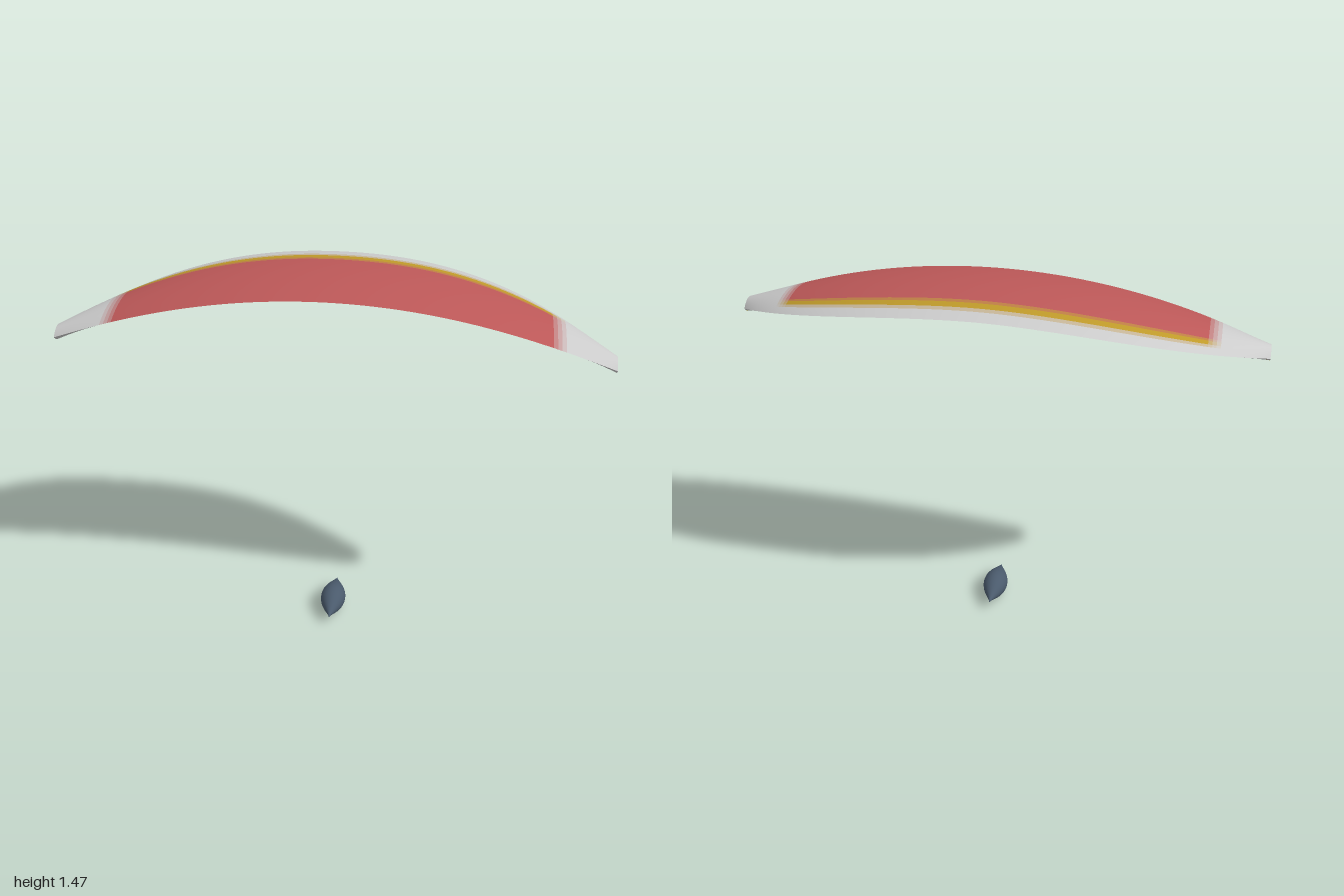
import * as THREE from 'three';
import { ParametricGeometry } from 'three/addons/geometries/ParametricGeometry.js';

const GREY = 0xcccccc, RED = 0xbc5858, YELLOW = 0xbf9a2a, SLATE = 0x4a5a6c;
const THICKNESS = 0.026;

// Planform: x = span position, f = chord fraction from leading (0) to trailing (1) edge.
const leadingZ = (x) => 0.226 - 0.021 * Math.abs(x) ** 6;
const trailingZ = (x) => -0.235 + 0.337 * Math.abs(x) ** 2.8;
const arcY = (x) => 1.441 - 0.206 * x * x;

// Point on the canopy; side is +1 for the upper skin, -1 for the lower, 0 for the chord.
function skinPoint(x, f, side, target) {
  const camber = side * THICKNESS * 4 * f * (1 - f);
  return target.set(x, arcY(x) + camber, THREE.MathUtils.lerp(leadingZ(x), trailingZ(x), f));
}

const mix = (a, b, t = 0.5) => new THREE.Color(a).lerp(new THREE.Color(b), t);

function makeMesh(name, geometry, color) {
  const mesh = new THREE.Mesh(geometry, new THREE.MeshStandardMaterial({ color }));
  mesh.name = name;
  return mesh;
}

// Patch of one skin between two span positions and two chord fractions.
function skinPatch(name, side, [x0, x1], [f0, f1], color) {
  const slices = Math.max(2, Math.ceil((x1 - x0) * 40));
  const stacks = Math.max(2, Math.ceil((f1 - f0) * 20));
  const geometry = new ParametricGeometry((u, v, target) => {
    const t = side > 0 ? v : 1 - v;
    skinPoint(THREE.MathUtils.lerp(x0, x1, u), THREE.MathUtils.lerp(f0, f1, t), side, target);
  }, slices, stacks);
  return makeMesh(name, geometry, color);
}

// Flat lens that closes one wing tip.
function tipCap(sign) {
  const geometry = new ParametricGeometry((u, v, target) => {
    skinPoint(sign, sign > 0 ? u : 1 - u, 2 * v - 1, target);
  }, 20, 2);
  geometry.computeVertexNormals();
  return makeMesh(sign > 0 ? 'leftTipCap' : 'rightTipCap', geometry, GREY);
}

export function createModel() {
  const model = new THREE.Group();
  model.name = 'glider';
  const canopy = new THREE.Group();
  canopy.name = 'canopy';
  model.add(canopy);

  // Upper skin: colour bands along the chord, fading to grey towards the tips
  const upperBands = [
    ['upperPanel', [0, 0.72], RED],
    ['upperStripeFrontFade', [0.72, 0.76], mix(RED, YELLOW)],
    ['upperStripe', [0.76, 0.83], YELLOW],
    ['upperStripeRearFade', [0.83, 0.875], mix(YELLOW, GREY)],
    ['upperTrailingBand', [0.875, 1], GREY],
  ];
  for (const [name, chord, color] of upperBands) {
    canopy.add(skinPatch(name, 1, [-0.775, 0.775], chord, color));
    for (let i = 0; i < 3; i++) {
      const a = 0.775 + i * 0.015, b = a + 0.015;
      const faded = mix(color, GREY, (i + 1) / 4);
      canopy.add(skinPatch(name + 'LeftFade', 1, [a, b], chord, faded));
      canopy.add(skinPatch(name + 'RightFade', 1, [-b, -a], chord, faded));
    }
  }
  canopy.add(skinPatch('leftUpperTip', 1, [0.82, 1], [0, 1], GREY));
  canopy.add(skinPatch('rightUpperTip', 1, [-1, -0.82], [0, 1], GREY));

  // Lower skin: grey with one thin stripe running the full span
  canopy.add(skinPatch('lowerPanel', -1, [-1, 1], [0, 0.79], GREY));
  canopy.add(skinPatch('lowerStripe', -1, [-1, 1], [0.79, 0.84], YELLOW));
  canopy.add(skinPatch('lowerTrailingBand', -1, [-1, 1], [0.84, 1], GREY));

  canopy.add(tipCap(1), tipCap(-1));

  // Spindle-shaped pilot pod below the canopy, pointed at both ends
  const length = 0.262, steps = 24;
  const profile = [];
  for (let i = 0; i <= steps; i++) {
    const t = i / steps;
    const radius = 0.05 * Math.max(0, Math.sin(Math.PI * t)) ** 1.25;
    profile.push(new THREE.Vector2(radius, (t - 0.5) * length));
  }
  const pod = makeMesh('pilotPod', new THREE.LatheGeometry(profile, 24), SLATE);
  pod.rotation.x = Math.PI / 2;
  pod.position.set(0, 0.05, 0.086);
  model.add(pod);

  return model;
}
